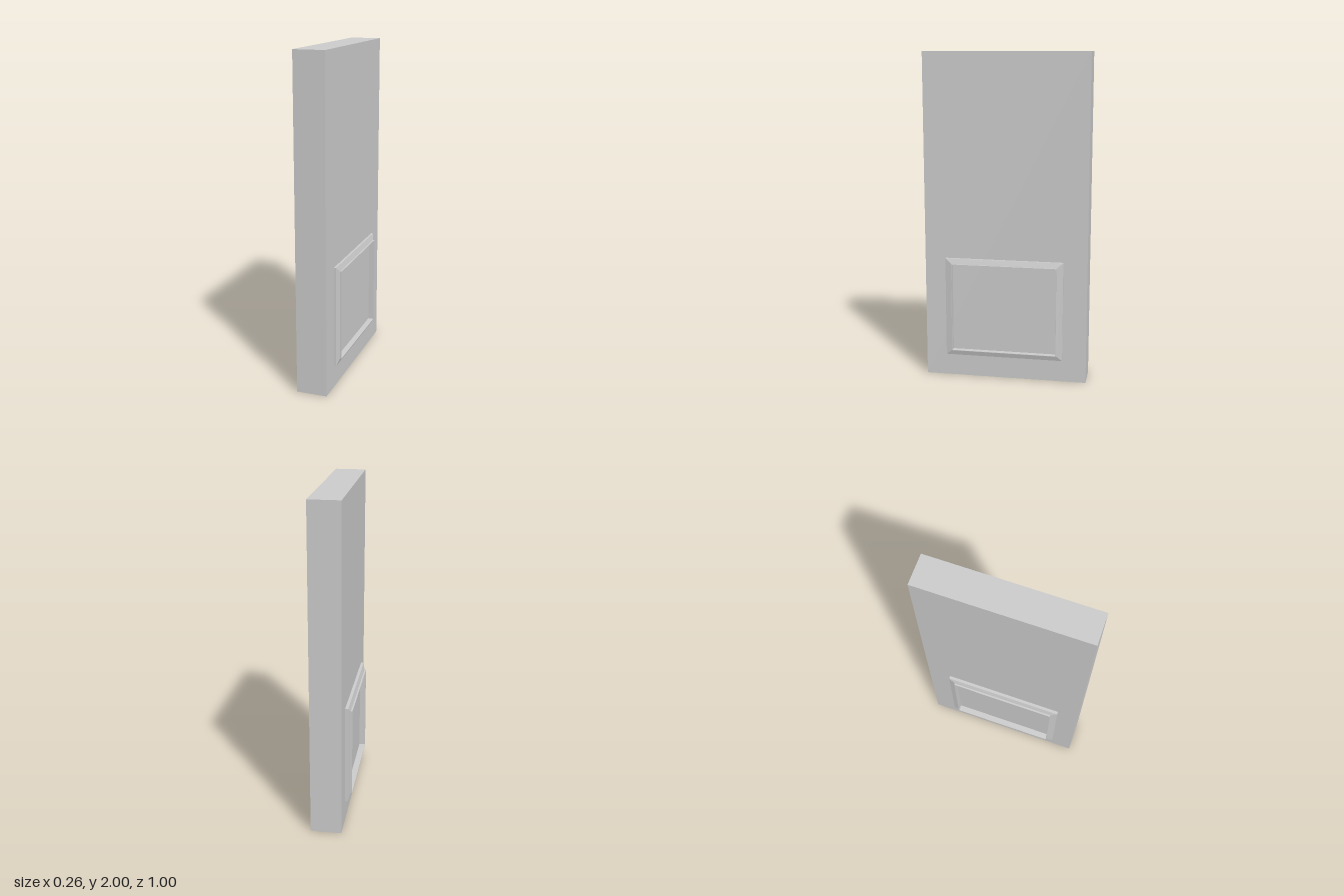
import * as THREE from 'three';

const material = new THREE.MeshStandardMaterial({ color: 0xcccccc });

// Outer edges of the flap trim, and how far its sloped border reaches inward
const trim = { y0: 0.137, y1: 0.754, z0: -0.356, z1: 0.371, insetY: 0.033, insetZ: 0.04 };

// Trim section: [distance from the door centre, inset as a share of the border]
const section = [
  [0.08, 0], [0.109, 0], [0.119, 1], [0.129, 1], [0.129, 1.06], [0.08, 1.06],
];

// Mitred rectangular trim swept from the section; side is +1 or -1 along x
function trimGeometry(side) {
  const rings = section.map(([x, t]) => {
    const dy = t * trim.insetY, dz = t * trim.insetZ;
    const y0 = trim.y0 + dy, y1 = trim.y1 - dy, z0 = trim.z0 + dz, z1 = trim.z1 - dz;
    return [[y0, z0], [y0, z1], [y1, z1], [y1, z0]].map(([y, z]) => [side * x, y, z]);
  });
  const positions = [];
  for (let i = 0; i < rings.length - 1; i++) {
    for (let c = 0; c < 4; c++) {
      const n = (c + 1) % 4;
      const quad = [rings[i][c], rings[i + 1][c], rings[i + 1][n], rings[i][n]];
      if (side < 0) quad.reverse();
      for (const k of [0, 1, 2, 0, 2, 3]) positions.push(...quad[k]);
    }
  }
  const geometry = new THREE.BufferGeometry();
  geometry.setAttribute('position', new THREE.Float32BufferAttribute(positions, 3));
  geometry.computeVertexNormals();
  return geometry;
}

export function createModel() {
  const group = new THREE.Group();
  group.name = 'doorWithFlap';

  // Door slab
  const slab = new THREE.Mesh(new THREE.BoxGeometry(0.186, 2, 1), material);
  slab.position.set(0.002, 1, 0);
  slab.name = 'doorSlab';
  group.add(slab);

  // Flap trim on both faces
  for (const side of [1, -1]) {
    const mesh = new THREE.Mesh(trimGeometry(side), material);
    mesh.name = side > 0 ? 'flapTrimLeft' : 'flapTrimRight';
    group.add(mesh);
  }
  return group;
}
